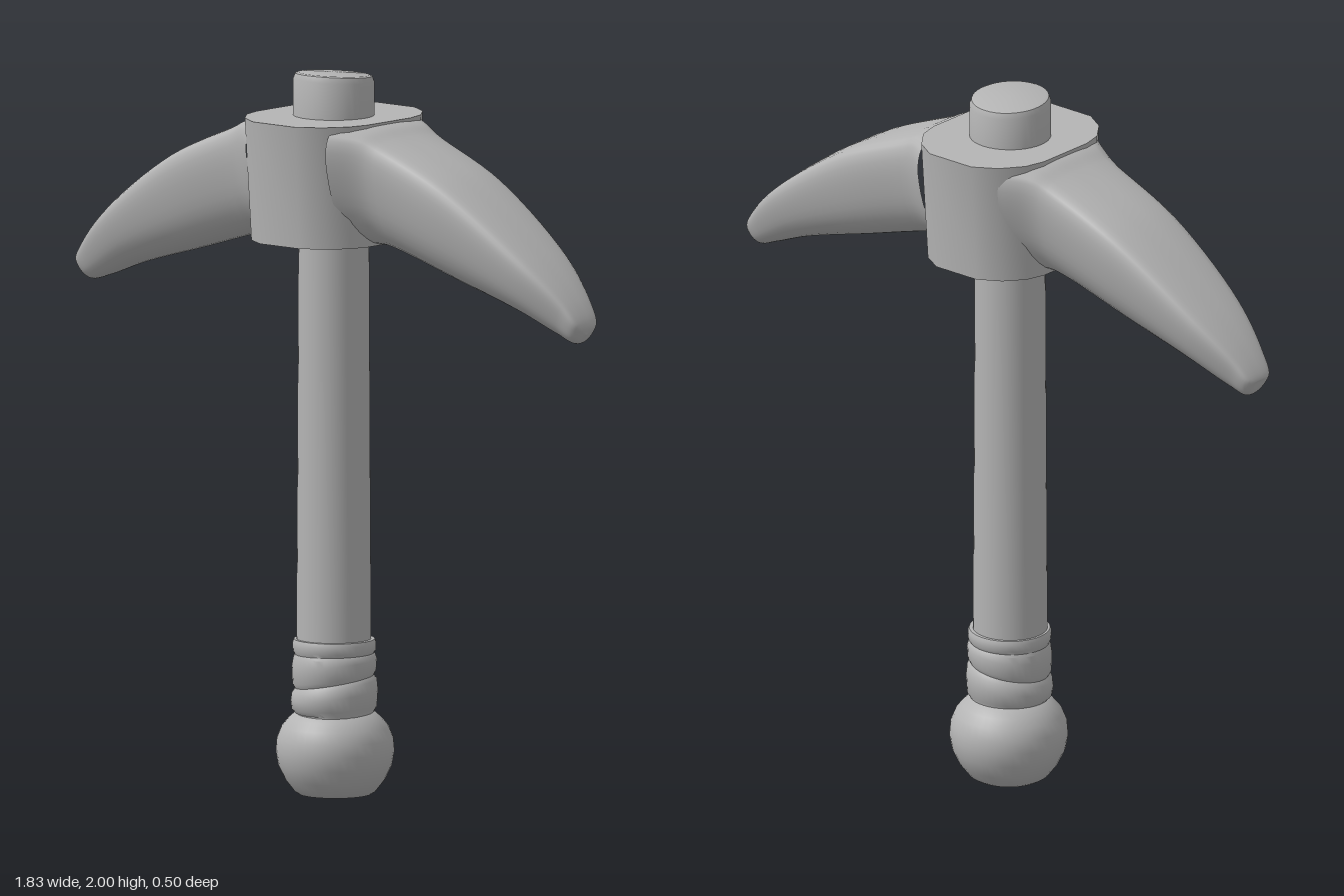
import * as THREE from 'three';
import { toCreasedNormals } from 'three/addons/utils/BufferGeometryUtils.js';

const steel = new THREE.MeshStandardMaterial({ color: 0xb4b4b4 });
steel.name = 'plain grey';

const v2 = (list) => list.map(([x, y]) => new THREE.Vector2(x, y));

function addMesh(group, name, geometry) {
  const mesh = new THREE.Mesh(geometry, steel);
  mesh.name = name;
  group.add(mesh);
  return mesh;
}

// Lathe with an optional vertex rule; edges sharper than 45 degrees stay crisp
function turned(profile, rule) {
  const geo = new THREE.LatheGeometry(v2(profile), 40);
  if (rule) {
    const p = geo.attributes.position;
    for (let i = 0; i < p.count; i++) p.setY(i, rule(p.getX(i), p.getY(i), p.getZ(i)));
  }
  return toCreasedNormals(geo, Math.PI / 4);
}

// Upper edge (x, y, half width) and lower edge (x, y) of one pick arm
const UPPER = [[0.14, 1.88, 0.21], [0.21, 1.868, 0.165], [0.26, 1.845, 0.15], [0.49, 1.745, 0.138],
  [0.75, 1.565, 0.105], [0.87, 1.45, 0.065], [0.908, 1.39, 0.043], [0.905, 1.36, 0]];
const LOWER = [[0.14, 1.54], [0.21, 1.54], [0.26, 1.53], [0.47, 1.468],
  [0.7, 1.4], [0.82, 1.352], [0.88, 1.333], [0.905, 1.36]];
// Half of the cross-section: width fraction, height fraction
const SECTION = [[0, 1], [0.6, 0.985], [0.93, 0.93], [1, 0.8], [0.94, 0.55], [0.77, 0.28], [0.45, 0.07], [0, 0]];

function pickArm(side) {
  const upper = new THREE.CatmullRomCurve3(UPPER.map((p) => new THREE.Vector3(...p)));
  const lower = new THREE.CatmullRomCurve3(LOWER.map(([x, y]) => new THREE.Vector3(x, y, 0)));
  const mirrored = SECTION.slice(1, -1).reverse().map(([w, h]) => [-w, h]);
  const outline = new THREE.CatmullRomCurve3(
    [...SECTION, ...mirrored].map(([w, h]) => new THREE.Vector3(w, h, 0)), true);
  const rings = 49, around = 42;
  const positions = [], index = [];
  for (let i = 0; i <= rings; i++) {
    const t = i / rings;
    const top = upper.getPoint(t), bottom = lower.getPoint(t);
    const lift = side < 0 ? 0.028 * t ** 6 : 0;
    for (let j = 0; j < around; j++) {
      const s = outline.getPoint(j / around);
      const x = bottom.x + (top.x - bottom.x) * s.y;
      const y = bottom.y + (top.y - bottom.y) * s.y + lift;
      positions.push(side * x + (side < 0 ? -0.006 : 0.002), y, s.x * Math.max(top.z, 0));
      if (i === rings) continue;
      const a = i * around + j, b = i * around + (j + 1) % around;
      const c = a + around, d = b + around;
      if (side > 0) index.push(a, b, c, b, d, c);
      else index.push(a, c, b, b, c, d);
    }
  }
  const geo = new THREE.BufferGeometry();
  geo.setAttribute('position', new THREE.Float32BufferAttribute(positions, 3));
  geo.setIndex(index);
  geo.computeVertexNormals();
  return geo;
}

// Eight-cornered block around the handle, narrowing towards the bottom
function collar() {
  const quarter = [[0.2, 0.09], [0.185, 0.15], [0.14, 0.21], [0.075, 0.25]];
  const half = [...quarter, ...quarter.map(([x, z]) => [-x, z]).reverse()];
  const shape = new THREE.Shape(v2([...half, ...half.map(([x, z]) => [-x, -z])]));
  const geo = new THREE.ExtrudeGeometry(shape, { depth: 0.34, bevelEnabled: false });
  geo.rotateX(-Math.PI / 2);
  const p = geo.attributes.position;
  for (let i = 0; i < p.count; i++) {
    const k = p.getY(i) / 0.34;
    p.setX(i, p.getX(i) * (0.96 + 0.04 * k));
    p.setZ(i, p.getZ(i) * (0.9 + 0.1 * k));
  }
  return toCreasedNormals(geo, Math.PI / 4);
}

export function createModel() {
  const group = new THREE.Group();
  group.name = 'pickaxe';

  // Straight handle
  addMesh(group, 'handle', turned([[0.103, 0.38], [0.1, 0.9], [0.097, 1.56]])).position.x = -0.01;

  // Handle end poking through the head, cut at a slight slant
  const peg = turned([[0.112, 1.86], [0.112, 1.975], [0.106, 1.991], [0.098, 1.994], [0, 1.994]],
    (x, y, z) => (y > 1.9 ? y + z * 0.07 : y));
  addMesh(group, 'handleTop', peg).position.x = -0.01;

  // Wrapped grip with tilted bands
  const grip = turned([[0.11, 0.19], [0.106, 0.225], [0.117, 0.24], [0.12, 0.275], [0.117, 0.3],
    [0.108, 0.312], [0.115, 0.325], [0.117, 0.365], [0.113, 0.383], [0.109, 0.39],
    [0.114, 0.4], [0.115, 0.42], [0.111, 0.43], [0.095, 0.431]],
  (x, y, z) => y + (y > 0.23 && y < 0.395 ? (x * 0.14 - z * 0.1) * Math.sin(((y - 0.23) / 0.165) * Math.PI) : 0));
  addMesh(group, 'gripWrap', grip).position.x = -0.008;

  // Rounded pommel with a flat base
  const pommel = turned([[0, 0], [0.1, 0], [0.112, 0.008], [0.137, 0.04], [0.156, 0.08], [0.163, 0.12],
    [0.16, 0.155], [0.147, 0.187], [0.128, 0.21], [0.105, 0.23], [0.09, 0.235]]);
  addMesh(group, 'pommel', pommel).position.set(-0.012, 0, -0.008);

  // Head: central collar and two curved arms
  addMesh(group, 'headCollar', collar()).position.set(-0.01, 1.54, 0);
  addMesh(group, 'leftArm', pickArm(1));
  addMesh(group, 'rightArm', pickArm(-1));
  return group;
}
